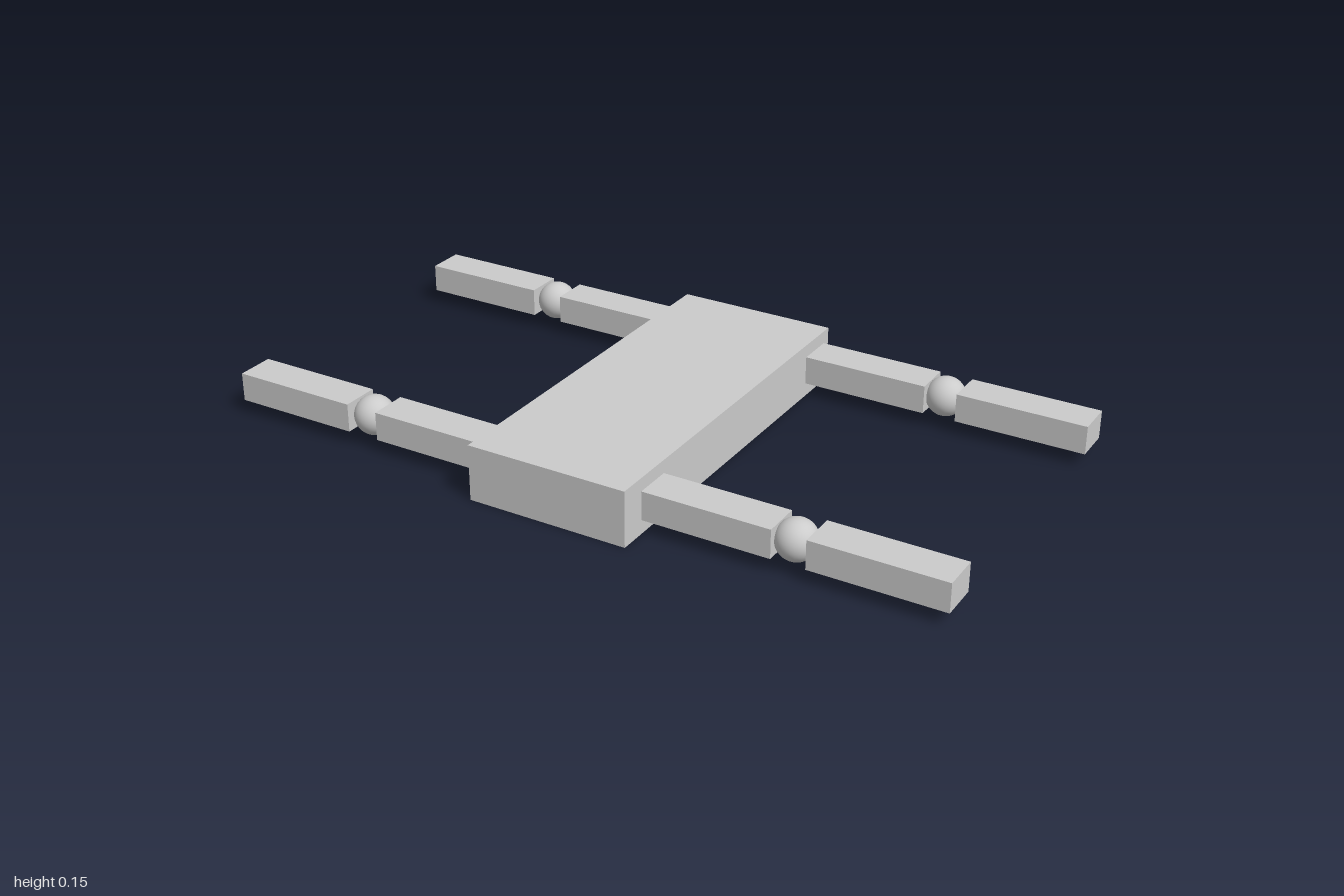
import * as THREE from 'three';

export function createModel() {
  const model = new THREE.Group();
  model.name = 'jointedFrame';
  const material = new THREE.MeshStandardMaterial({ color: 0xcccccc });
  const midY = 0.076;

  function add(parent, name, geometry, x, y, z) {
    const mesh = new THREE.Mesh(geometry, material);
    mesh.name = name;
    mesh.position.set(x, y, z);
    parent.add(mesh);
  }

  // Central slab
  add(model, 'body', new THREE.BoxGeometry(0.44, 0.15, 1.046), 0, 0.075, 0);

  // Shared limb parts
  const segment = new THREE.BoxGeometry(0.35, 0.077, 0.103);
  const ball = new THREE.SphereGeometry(0.053, 32, 16);

  // Four limbs: inner bar, ball joint, outer bar
  const limbs = [
    ['frontLeftLimb', 1, 0.601, 0.397],
    ['frontRightLimb', -1, 0.605, 0.397],
    ['backLeftLimb', 1, 0.601, -0.446],
    ['backRightLimb', -1, 0.605, -0.443],
  ];
  for (const [name, side, jointX, z] of limbs) {
    const limb = new THREE.Group();
    limb.name = name;
    add(limb, 'innerSegment', segment, side * 0.386, midY, z);
    add(limb, 'joint', ball, side * jointX, midY, z);
    add(limb, 'outerSegment', segment, side * 0.825, midY, z);
    model.add(limb);
  }
  return model;
}
